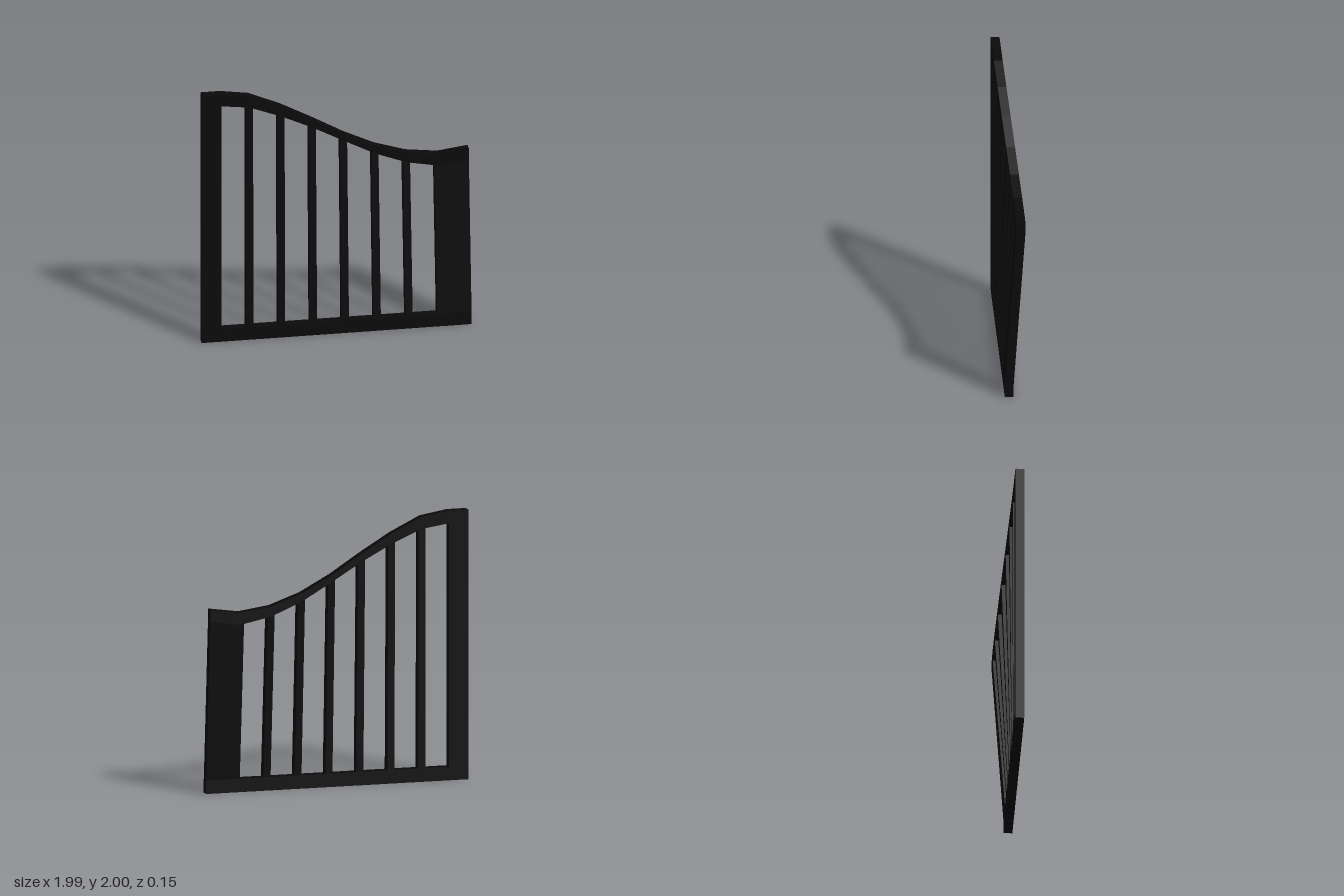
import * as THREE from 'three';

const BACK = 0.012, DEPTH = 0.065, BASE = 0.1;

// Top rail stations: x, upper edge, lower edge
const RAIL = [
  [-1, 2, 1.92], [-0.855, 2, 1.906], [-0.645, 1.966, 1.877], [-0.41, 1.856, 1.78],
  [-0.178, 1.723, 1.664], [0.056, 1.58, 1.53], [0.29, 1.46, 1.4],
  [0.525, 1.38, 1.305], [0.76, 1.348, 1.258], [0.985, 1.38, 1.29],
];

// The lower the rail dips, the further it sits back
const railBack = (top) => BACK - 0.138 * (2 - top);

// Interpolated rail values at x
function railAt(x) {
  let i = 1;
  while (i < RAIL.length - 1 && x > RAIL[i][0]) i++;
  const a = RAIL[i - 1], b = RAIL[i];
  const t = (x - a[0]) / (b[0] - a[0]);
  const top = THREE.MathUtils.lerp(a[1], b[1], t);
  return { under: THREE.MathUtils.lerp(a[2], b[2], t), back: railBack(top) };
}

// Flat-faced solid through a row of four-cornered sections
function loft(sections) {
  const pos = [];
  const quad = (a, b, c, d) => pos.push(...a, ...b, ...c, ...a, ...c, ...d);
  for (let s = 0; s < sections.length - 1; s++) {
    const a = sections[s], b = sections[s + 1];
    for (let i = 0; i < 4; i++) {
      const j = (i + 1) % 4;
      quad(a[i], a[j], b[j], b[i]);
    }
  }
  quad(...[...sections[0]].reverse());
  quad(...sections[sections.length - 1]);
  const geo = new THREE.BufferGeometry();
  geo.setAttribute('position', new THREE.Float32BufferAttribute(pos, 3));
  geo.computeVertexNormals();
  return geo;
}

// Section across a horizontal rail
const railSection = (x, low, high, z) => [
  [x, low, z], [x, high, z], [x, high, z + DEPTH], [x, low, z + DEPTH],
];

// Upright leaning from the bottom rail to the underside of the top rail
function upright(b0, b1, t0, t1) {
  const l = railAt(t0), r = railAt(t1), front = BACK + DEPTH;
  return loft([
    [[b0, BASE, BACK], [b0, BASE, front], [b1, BASE, front], [b1, BASE, BACK]],
    [[t0, l.under, l.back], [t0, l.under, l.back + DEPTH],
      [t1, r.under, r.back + DEPTH], [t1, r.under, r.back]],
  ]);
}

export function createModel() {
  const group = new THREE.Group();
  group.name = 'railingPanel';
  const material = new THREE.MeshStandardMaterial({ color: 0x0a0a0a, flatShading: true });
  const add = (name, geometry) => {
    const mesh = new THREE.Mesh(geometry, material);
    mesh.name = name;
    group.add(mesh);
  };

  // Rails
  add('topRail', loft(RAIL.map(([x, top, low]) => railSection(x, low, top, railBack(top)))));
  add('bottomRail', loft([railSection(-1, 0, BASE, BACK), railSection(0.992, 0, BASE, BACK)]));

  // End posts
  add('rightPost', upright(-1, -0.855, -1, -0.855));
  add('leftPost', upright(0.737, 0.991, 0.731, 0.985));

  // Six evenly spaced bars, the later ones slightly slanted
  for (let i = 0; i < 6; i++) {
    const x = -0.646 + i * 0.234, slant = 0.0012 * i;
    add(`bar${i + 1}`, upright(x - 0.027 + slant, x + 0.027 + slant, x - 0.027, x + 0.027));
  }
  return group;
}
